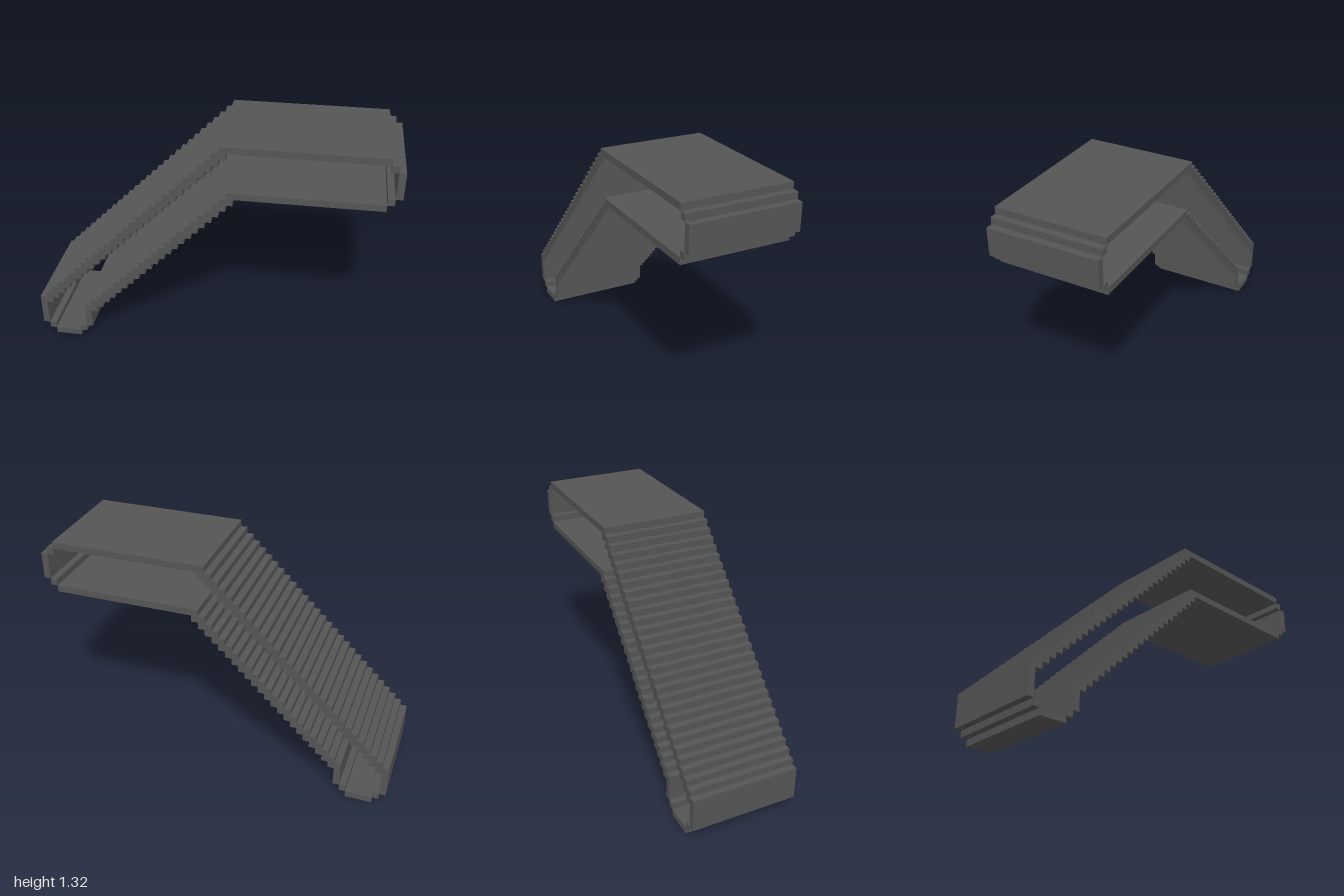
import * as THREE from 'three';

// Everything sits on a grid 53 cells wide, 35 high and 16 deep.
const CELL = 2 / 53;
const DEPTH = 16 * CELL;

export function createModel() {
  const group = new THREE.Group();
  const darkGrey = new THREE.MeshStandardMaterial({ color: 0x555555 });
  darkGrey.name = 'darkGrey';

  function add(name, geometry) {
    const mesh = new THREE.Mesh(geometry, darkGrey);
    mesh.name = name;
    group.add(mesh);
  }

  // Block covering columns c0..c1 and rows r0..r1 (upper limits excluded)
  function block(name, c0, r0, c1, r1) {
    const g = new THREE.BoxGeometry((c1 - c0) * CELL, (r1 - r0) * CELL, DEPTH);
    g.translate(((c0 + c1) / 2) * CELL - 1, ((r0 + r1) / 2) * CELL, 0);
    add(name, g);
  }

  // Upright end wall, stepped slope and level deck in one extruded outline.
  // Each stepped column c fills two cells upward from row c + offset.
  function steppedBand(name, first, last, offset) {
    const pts = [[first, 2], [first + 1, 2]];
    for (let c = first + 1; c <= last; c++) {
      pts.push([c, c + offset], [c + 1, c + offset]);
    }
    const top = last + offset + 2;
    pts.push([last + 1, top - 1], [51, top - 1], [51, top]);
    for (let c = last; c >= first; c--) {
      if (c < last) pts.push([c + 1, c + offset + 2]);
      pts.push([c, c + offset + 2]);
    }
    const shape = new THREE.Shape(
      pts.map(([x, y]) => new THREE.Vector2(x * CELL - 1, y * CELL))
    );
    const g = new THREE.ExtrudeGeometry(shape, { depth: DEPTH, bevelEnabled: false });
    g.translate(0, 0, -DEPTH / 2);
    add(name, g);
  }

  steppedBand('upperBand', 0, 28, 5);
  steppedBand('lowerBand', 7, 29, -3);

  // Closed ends
  block('footPlate', 2, 0, 6, 1);
  block('endWall', 52, 29, 53, 33);

  // Single-cell corner bars joining the ends
  const corners = [
    ['footCornerOuter', 1, 1],
    ['footCornerInner', 6, 1],
    ['endCornerLower', 51, 28],
    ['endCornerUpper', 51, 33],
  ];
  for (const [name, c, r] of corners) block(name, c, r, c + 1, r + 1);

  return group;
}
